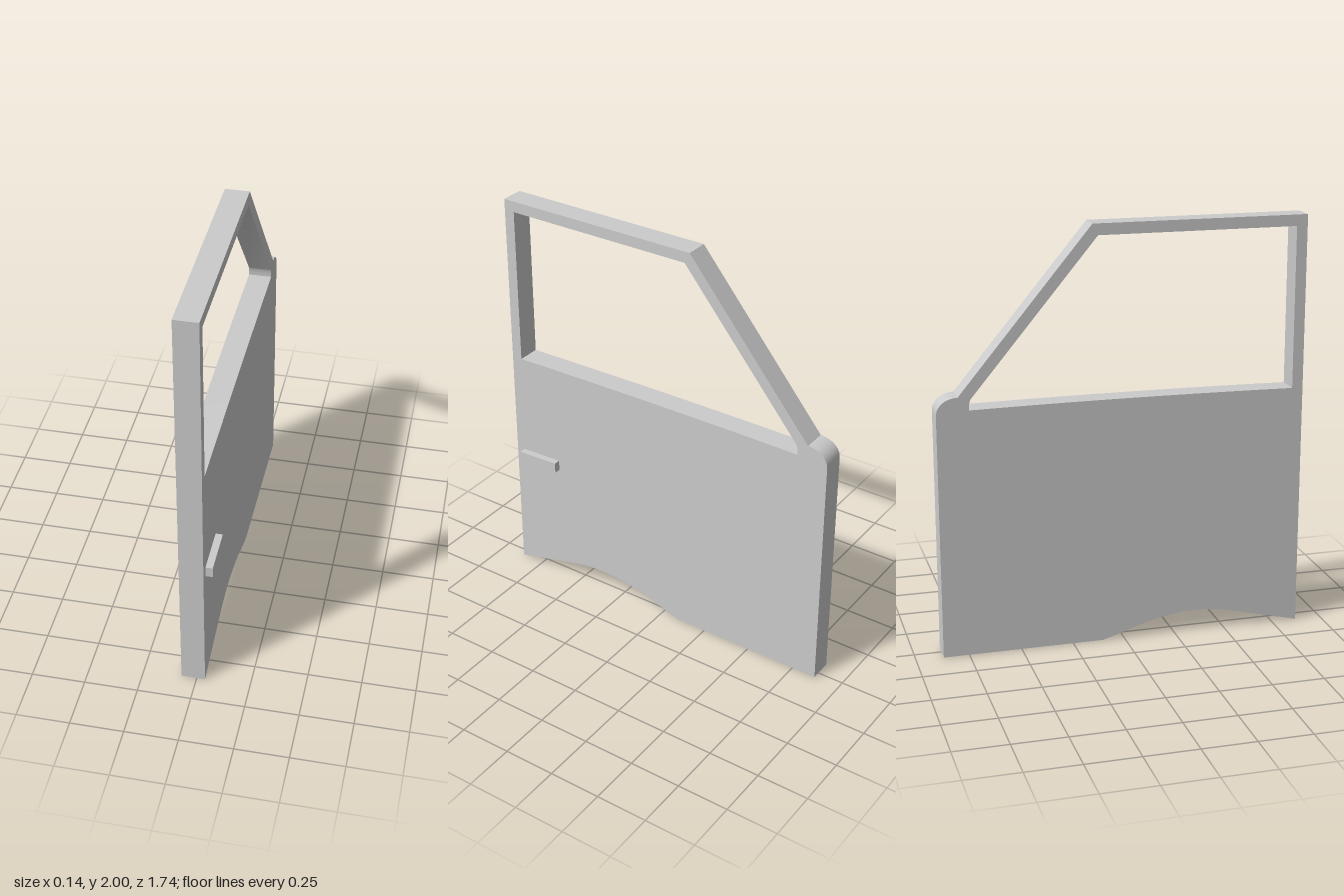
import * as THREE from 'three';
import { toCreasedNormals } from 'three/addons/utils/BufferGeometryUtils.js';

const material = new THREE.MeshStandardMaterial({ color: 0xcccccc });
const points = (list) => list.map(([x, y]) => new THREE.Vector2(x, y));

// Extrude a side profile (first axis = -z, second = y) between two x positions
function slab(name, shape, x0, x1) {
  const geometry = new THREE.ExtrudeGeometry(shape, {
    depth: x1 - x0, bevelEnabled: false, curveSegments: 10,
  });
  geometry.translate(0, 0, x0).rotateY(Math.PI / 2);
  const mesh = new THREE.Mesh(toCreasedNormals(geometry, 0.5), material);
  mesh.name = name;
  return mesh;
}

export function createModel() {
  const group = new THREE.Group();
  group.name = 'vehicleDoor';

  // Door outline: wheel arch, sill, rounded hinge shoulder, sloped pillar, roof edge
  const outline = new THREE.Shape();
  outline.moveTo(-0.872, 0);
  outline.lineTo(-0.57, 0.075);
  outline.splineThru(points([
    [-0.46, 0.098], [-0.36, 0.105], [-0.25, 0.098], [-0.12, 0.073], [0, 0.034], [0.105, 0.002],
  ]));
  outline.lineTo(0.872, 0.002);
  outline.lineTo(0.872, 1.165);
  outline.bezierCurveTo(0.872, 1.215, 0.83, 1.247, 0.772, 1.248);
  outline.lineTo(0.148, 2);
  outline.lineTo(-0.872, 2);
  outline.closePath();

  // Window opening with a slightly bowed lower edge
  const opening = new THREE.Path();
  opening.moveTo(-0.82, 1.18);
  opening.lineTo(-0.82, 1.947);
  opening.lineTo(0.122, 1.947);
  opening.lineTo(0.712, 1.238);
  opening.quadraticCurveTo(0.723, 1.222, 0.723, 1.185);
  opening.quadraticCurveTo(0, 1.195, -0.82, 1.18);
  outline.holes.push(opening);
  group.add(slab('doorPanel', outline, -0.072, 0.039));

  // Door handle on the outer face
  const handle = new THREE.Shape(points([
    [-0.83, 0.614], [-0.613, 0.62], [-0.613, 0.673], [-0.83, 0.665],
  ]));
  group.add(slab('doorHandle', handle, 0.035, 0.072));

  return group;
}
